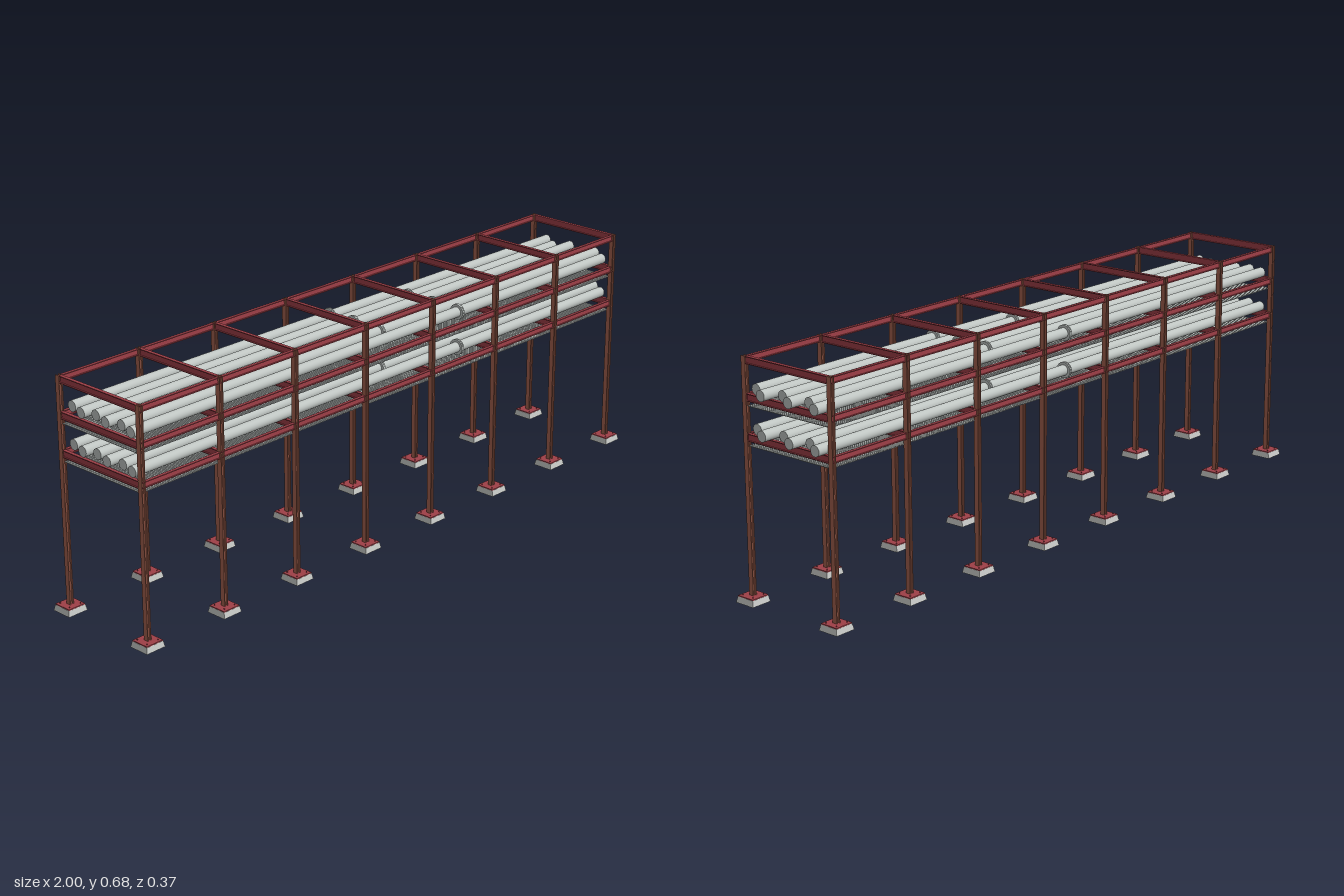
import * as THREE from 'three';

const mat = (name, color) => {
  const m = new THREE.MeshStandardMaterial({ color });
  m.name = name;
  return m;
};

// I-section of width w and height h, extruded along z and centred
function iBeam(w, h, length, flange = 0.0025, web = 0.003) {
  const a = w / 2, b = h / 2, c = web / 2, d = b - flange;
  const pts = [[-a, -b], [a, -b], [a, -d], [c, -d], [c, d], [a, d],
    [a, b], [-a, b], [-a, d], [-c, d], [-c, -d], [-a, -d]];
  const shape = new THREE.Shape(pts.map(([x, y]) => new THREE.Vector2(x, y)));
  return new THREE.ExtrudeGeometry(shape, { depth: length, bevelEnabled: false })
    .translate(0, 0, -length / 2);
}

export function createModel() {
  const root = new THREE.Group();
  root.name = 'pipeRack';

  const columnBrown = mat('columnBrown', 0xa3614e);
  const beamRed = mat('beamRed', 0x9e3f47);
  const pipeGrey = mat('pipeGrey', 0xbfc5c2);
  const gratingGrey = mat('gratingGrey', 0xb6bbb9);
  const concrete = mat('concreteGrey', 0xc8cac7);

  const add = (parent, name, geometry, material, x, y, z) => {
    const mesh = new THREE.Mesh(geometry, material);
    mesh.name = name;
    mesh.position.set(x, y, z);
    parent.add(mesh);
  };
  const group = (name) => {
    const g = new THREE.Group();
    g.name = name;
    root.add(g);
    return g;
  };

  const endX = 0.966, sideZ = 0.1545, frames = 8;
  const beamLevels = [0.458, 0.5665, 0.6665];

  // Columns on tapered footings with bolted base plates
  const footGeo = new THREE.CylinderGeometry(0.0285 * Math.SQRT2, 0.032 * Math.SQRT2, 0.017, 4, 1)
    .rotateY(Math.PI / 4).toNonIndexed();
  footGeo.computeVertexNormals();
  const plateGeo = new THREE.BoxGeometry(0.056, 0.003, 0.056);
  const boltGeo = new THREE.CylinderGeometry(0.0015, 0.0015, 0.004, 6);
  const columnGeo = iBeam(0.0147, 0.013, 0.658).rotateZ(Math.PI / 2).rotateX(Math.PI / 2);
  const crossGeo = iBeam(0.0105, 0.021, 2 * sideZ - 0.012);

  const supports = group('supports');
  const crossBeams = group('crossBeams');
  for (let i = 0; i < frames; i++) {
    const x = -endX + (2 * endX * i) / (frames - 1);
    for (const side of [-1, 1]) {
      const z = side * sideZ;
      add(supports, 'footing', footGeo, concrete, x, 0.0085, z);
      add(supports, 'basePlate', plateGeo, beamRed, x, 0.0185, z);
      add(supports, 'column', columnGeo, columnBrown, x, 0.348, z);
      for (const bx of [-0.019, 0.019]) {
        for (const bz of [-0.019, 0.019]) {
          add(supports, 'anchorBolt', boltGeo, beamRed, x + bx, 0.021, z + bz);
        }
      }
    }
    for (const y of beamLevels) add(crossBeams, 'crossBeam', crossGeo, beamRed, x, y, 0);
  }

  // Long rails joining the frames on both sides
  const rails = group('longRails');
  const railGeo = iBeam(0.0095, 0.018, 2 * endX).rotateY(Math.PI / 2);
  for (const y of beamLevels) {
    for (const side of [-1, 1]) add(rails, 'longRail', railGeo, beamRed, 0, y, side * sideZ);
  }

  // Fine slatted grating below each pipe tier
  const slats = 300, pitch = (2 * endX) / slats;
  const slatGeo = new THREE.BoxGeometry(pitch * 0.72, 0.0025, 0.298);
  for (const y of [0.434, 0.542]) {
    const grating = group('grating');
    for (let i = 0; i < slats; i++) {
      add(grating, 'slat', slatGeo, gratingGrey, -endX + (i + 0.5) * pitch, y, 0);
    }
  }

  // Two tiers of six pipes, alternately shifted, each with a flanged joint
  const pipeZ = [0.117, 0.065, 0.02, -0.034, -0.075, -0.127];
  const alongX = (r, length) =>
    new THREE.CylinderGeometry(r, r, length, 24).rotateZ(Math.PI / 2);
  const flangeGeo = alongX(0.0235, 0.004);
  for (const y of [0.484, 0.592]) {
    const tier = group('pipeTier');
    pipeZ.forEach((z, i) => {
      const shifted = i % 2 === 1;
      const x0 = shifted ? -0.95 : -0.965, x1 = shifted ? 1.0 : 0.965;
      const joint = shifted ? 0.012 : 0.29;
      add(tier, 'pipe', alongX(0.0155, x1 - x0), pipeGrey, (x0 + x1) / 2, y, z);
      for (const dx of [-0.0025, 0.0025]) {
        add(tier, 'jointFlange', flangeGeo, pipeGrey, joint + dx, y, z);
      }
    });
  }
  return root;
}
